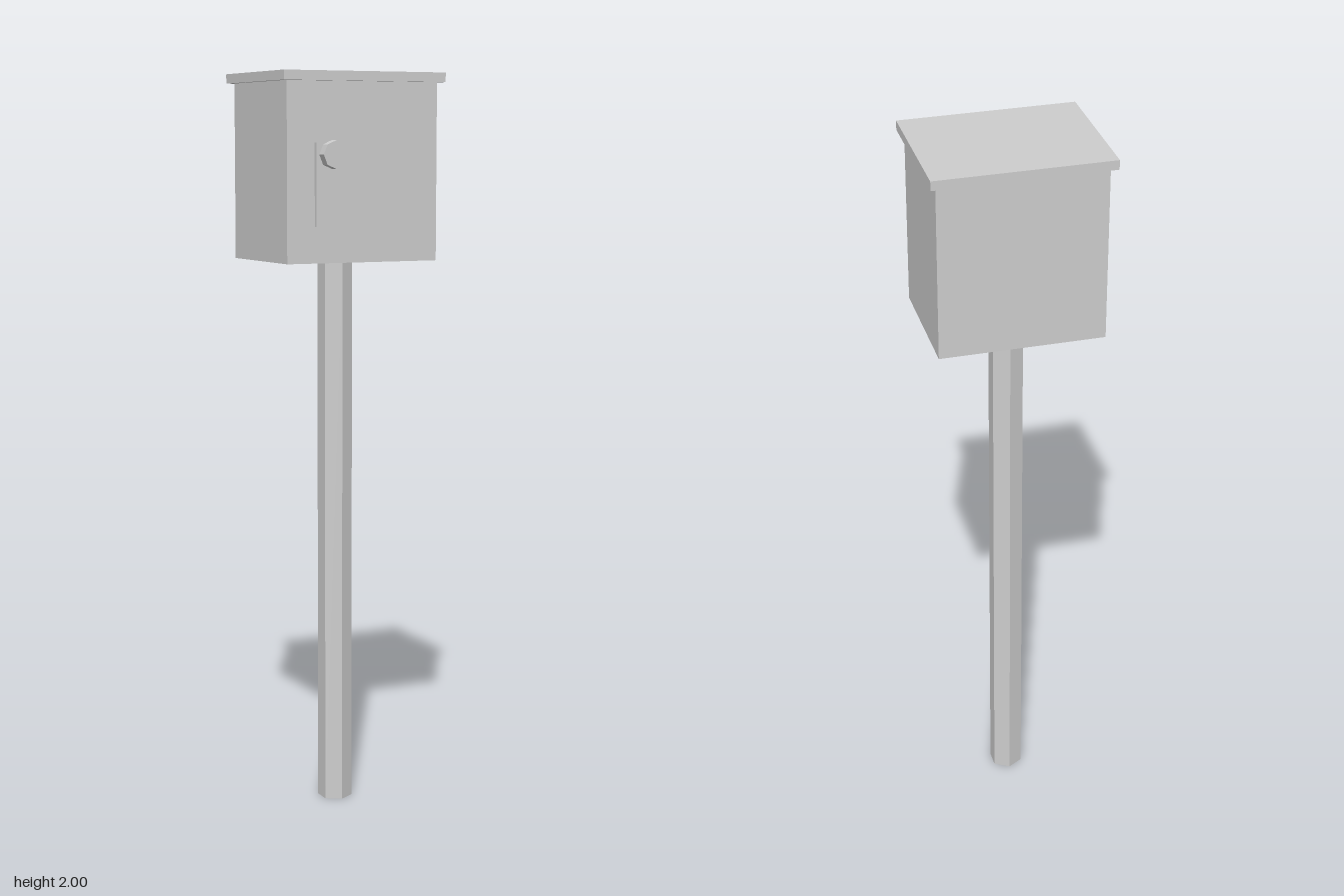
import * as THREE from 'three';

export function createModel() {
  const group = new THREE.Group();
  const grey = new THREE.MeshStandardMaterial({ color: 0xcccccc, flatShading: true });
  grey.name = 'light grey';
  const Z = -0.01; // centre line of post and box

  const add = (name, geometry, x, y, z) => {
    const mesh = new THREE.Mesh(geometry, grey);
    mesh.name = name;
    mesh.position.set(x, y, z);
    group.add(mesh);
  };

  // Hexagonal post with a corner facing the front
  add('post', new THREE.CylinderGeometry(0.047, 0.047, 1.505, 6), 0, 0.7525, Z);

  // Box and its overhanging lid
  add('box', new THREE.BoxGeometry(0.438, 0.47, 0.338), 0, 1.74, Z);
  add('lid', new THREE.BoxGeometry(0.47, 0.025, 0.375), 0, 1.9875, Z);

  // Raised door panel on the front
  add('door', new THREE.BoxGeometry(0.28, 0.217, 0.02), 0, 1.7085, 0.16);

  // Octagonal knob at the upper corner of the door
  const knob = new THREE.CylinderGeometry(0.037, 0.037, 0.03, 8).rotateX(Math.PI / 2);
  add('knob', knob, -0.095, 1.786, 0.182);

  return group;
}
